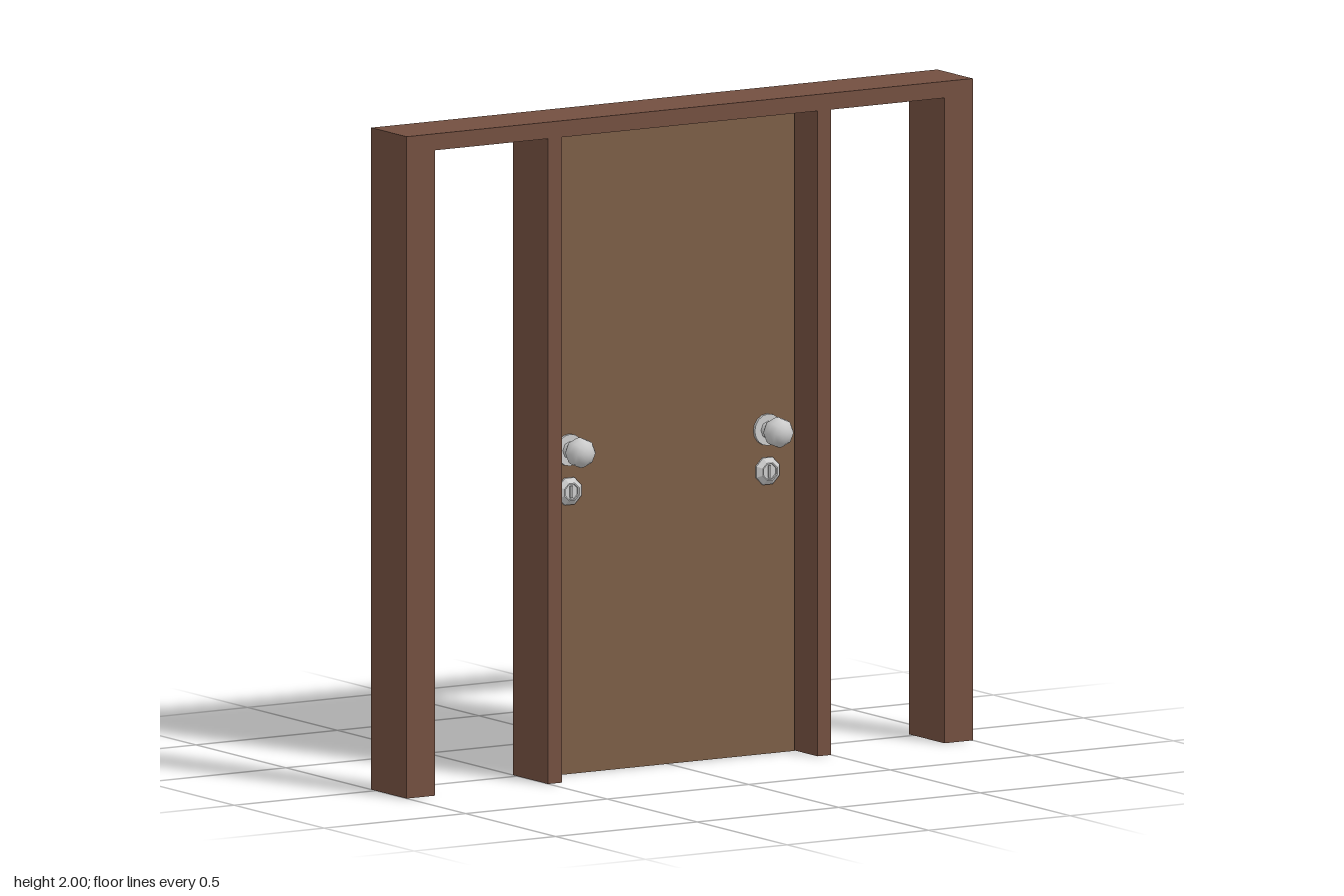
import * as THREE from 'three';

const FRAME_BACK = -0.025, FRAME_DEPTH = 0.197;
const DOOR_BACK = -0.062, DOOR_FRONT = 0.05;

const frameMat = new THREE.MeshStandardMaterial({ color: 0x734f40 });
const doorMat = new THREE.MeshStandardMaterial({ color: 0x7b5d46 });
const metalMat = new THREE.MeshStandardMaterial({ color: 0xcccccc });

function addMesh(parent, name, geometry, material, x = 0, y = 0, z = 0) {
  const mesh = new THREE.Mesh(geometry, material);
  mesh.name = name;
  mesh.position.set(x, y, z);
  parent.add(mesh);
  return mesh;
}

// Eight-sided turned part whose axis points along +z
function turned(points) {
  const profile = points.map(([r, z]) => new THREE.Vector2(r, z));
  return new THREE.LatheGeometry(profile, 8, Math.PI / 8).rotateX(Math.PI / 2);
}

// Knob with its rosette and stem, and the lock below; z = 0 is the door face
function createHardware(name) {
  const group = new THREE.Group();
  group.name = name;
  const plate = new THREE.CylinderGeometry(0.048, 0.048, 0.009, 16).rotateX(Math.PI / 2);
  addMesh(group, 'knobRosette', plate, metalMat, 0, 0.98, 0.0045);
  const stem = new THREE.CylinderGeometry(0.027, 0.027, 0.04, 8, 1, true).rotateX(Math.PI / 2);
  addMesh(group, 'knobStem', stem, metalMat, 0, 0.98, 0.025);
  addMesh(group, 'knob', new THREE.SphereGeometry(0.046, 8, 8).rotateX(Math.PI / 2), metalMat, 0, 0.98, 0.065);

  // Bevelled lock ring around a recessed cylinder with a raised key bar
  const ring = turned([[0.044, 0], [0.044, 0.006], [0.028, 0.018], [0.024, 0.018], [0.024, 0.012], [0, 0.012]]);
  ring.deleteAttribute('normal');
  const flatRing = ring.toNonIndexed();
  flatRing.computeVertexNormals();
  addMesh(group, 'lockRing', flatRing, metalMat, 0, 0.855, 0);
  addMesh(group, 'lockBar', new THREE.BoxGeometry(0.008, 0.036, 0.008), metalMat, 0, 0.855, 0.014);
  return group;
}

export function createModel() {
  const model = new THREE.Group();
  model.name = 'doorway';

  // Frame: header, two outer posts and two narrow jambs
  const frame = new THREE.Group();
  frame.name = 'frame';
  model.add(frame);
  const frameZ = FRAME_BACK + FRAME_DEPTH / 2;
  addMesh(frame, 'header', new THREE.BoxGeometry(2, 0.05, FRAME_DEPTH), frameMat, 0, 1.975, frameZ);
  for (const side of [-1, 1]) {
    addMesh(frame, 'outerPost', new THREE.BoxGeometry(0.1, 1.95, FRAME_DEPTH), frameMat, side * 0.95, 0.975, frameZ);
    addMesh(frame, 'doorJamb', new THREE.BoxGeometry(0.048, 1.95, FRAME_DEPTH), frameMat, side * 0.476, 0.975, frameZ);
  }

  // Door leaf, standing proud of the frame at the back
  const leaf = new THREE.BoxGeometry(0.895, 1.945, DOOR_FRONT - DOOR_BACK);
  addMesh(model, 'doorLeaf', leaf, doorMat, 0, 0.9725, (DOOR_FRONT + DOOR_BACK) / 2);

  // Knob and lock sets on both faces
  for (const x of [-0.35, 0.35]) {
    const front = createHardware('frontHardware');
    front.position.set(x, 0, DOOR_FRONT);
    const back = createHardware('backHardware');
    back.position.set(x, 0, DOOR_BACK);
    back.rotation.y = Math.PI;
    model.add(front, back);
  }
  return model;
}
